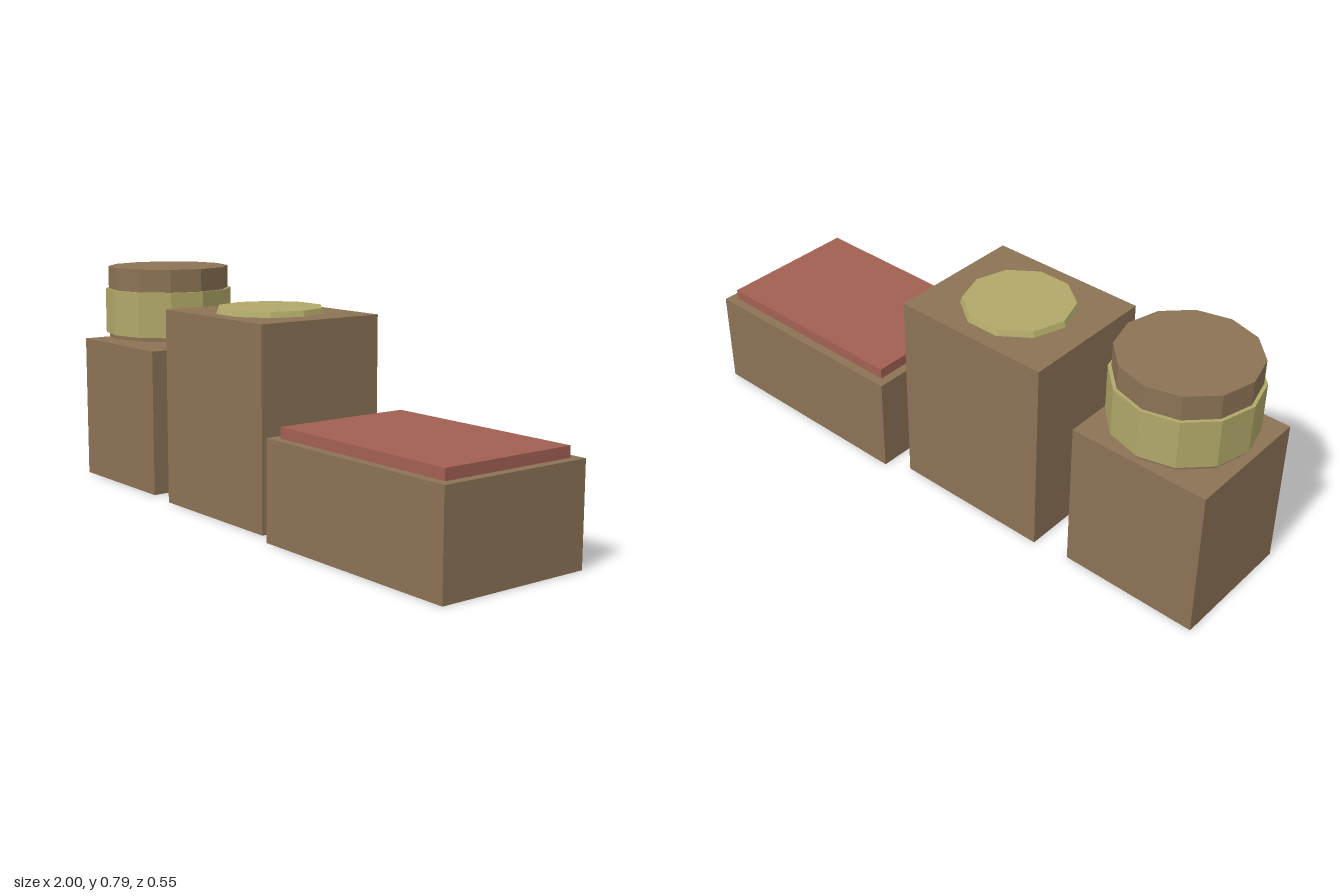
import * as THREE from 'three';

const material = (name, color) => {
  const m = new THREE.MeshStandardMaterial({ color, flatShading: true });
  m.name = name;
  return m;
};

export function createModel() {
  const brown = material('brown', 0x8b7355);
  const gold = material('pale gold', 0xb0a868);
  const red = material('dusty red', 0xa36053);
  const model = new THREE.Group();
  model.name = 'threeContainers';

  const add = (parent, name, geometry, mat, x, y) => {
    const mesh = new THREE.Mesh(geometry, mat);
    mesh.name = name;
    mesh.position.set(x, y, 0);
    parent.add(mesh);
    return mesh;
  };
  // Block given by its x range, y range and depth
  const block = (parent, name, mat, x0, x1, y0, y1, depth) =>
    add(parent, name, new THREE.BoxGeometry(x1 - x0, y1 - y0, depth), mat, (x0 + x1) / 2, (y0 + y1) / 2);
  // Faceted disc given by its radii, y range and side count
  const disc = (parent, name, mat, x, rTop, rBottom, y0, y1, sides) =>
    add(parent, name, new THREE.CylinderGeometry(rTop, rBottom, y1 - y0, sides), mat, x, (y0 + y1) / 2);
  const container = (name) => {
    const group = new THREE.Group();
    group.name = name;
    model.add(group);
    return group;
  };

  // Box with a floating lid and band
  const lidded = container('liddedBox');
  block(lidded, 'liddedBoxBody', brown, -1, -0.532, 0, 0.51, 0.436);
  disc(lidded, 'lid', brown, -0.766, 0.217, 0.217, 0.53, 0.785, 12);
  disc(lidded, 'lidBand', gold, -0.766, 0.228, 0.228, 0.545, 0.705, 12);

  // Tall box with a thin bevelled disc
  const tall = container('tallBox');
  block(tall, 'tallBoxBody', brown, -0.412, 0.136, 0, 0.668, 0.47);
  disc(tall, 'topDisc', gold, -0.138, 0.179, 0.186, 0.668, 0.687, 10).rotation.y = Math.PI / 2;

  // Low box with an inset slab
  const low = container('lowBox');
  block(low, 'lowBoxBody', brown, 0.214, 1, 0, 0.33, 0.55);
  block(low, 'topSlab', red, 0.245, 0.969, 0.33, 0.366, 0.488);

  return model;
}
